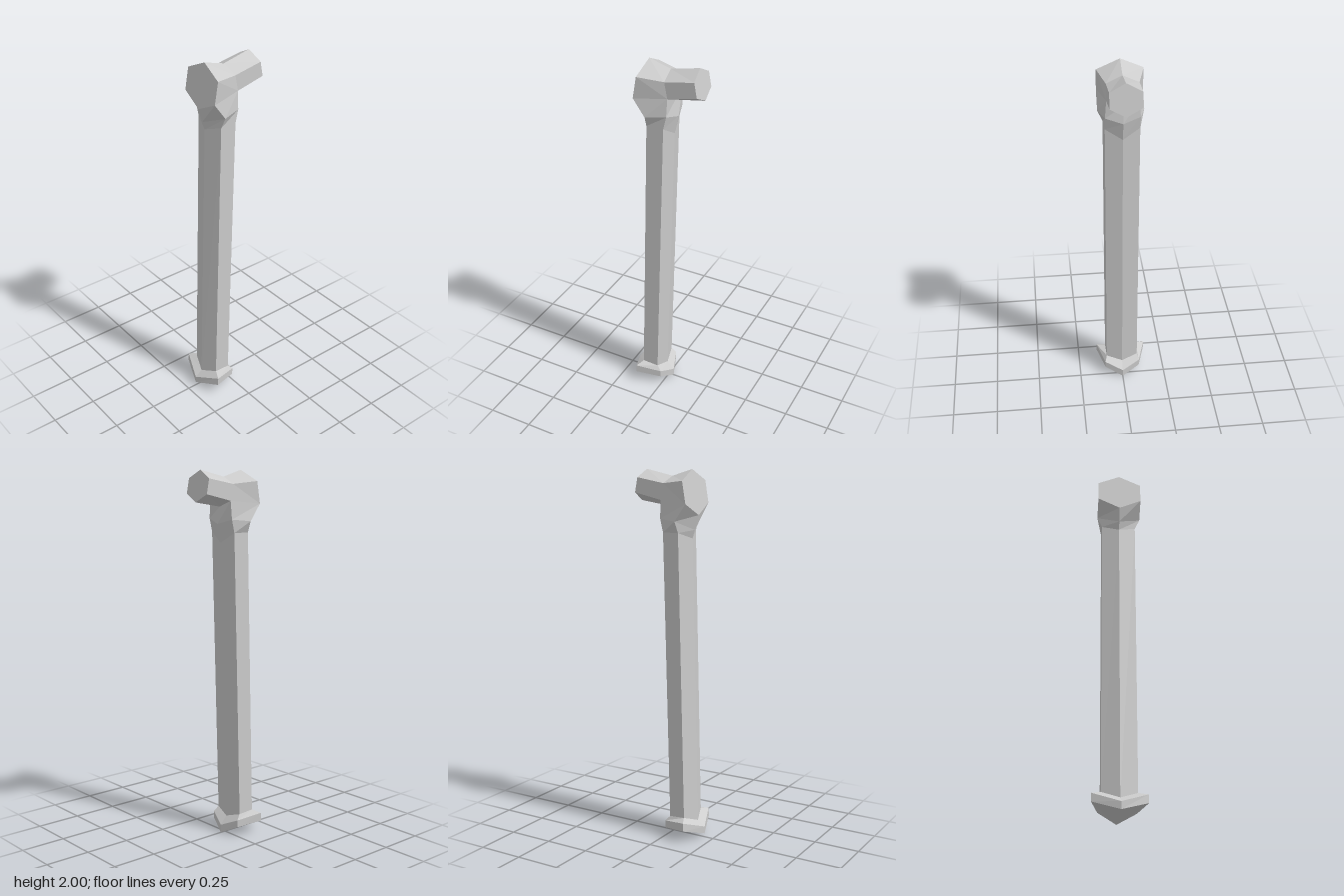
import * as THREE from 'three';

const material = new THREE.MeshStandardMaterial({ color: 0xcccccc, flatShading: true });

// Mirrored six-sided ring: first centre corner, two side corners, second centre corner
const ring = (first, sideA, sideB, last) => {
  const flip = ([x, y, z]) => [-x, y, z];
  return [first, sideA, sideB, last, flip(sideB), flip(sideA)];
};

// Quads joining consecutive rings, optionally only some of the six sides
function loft(rings, sides = [0, 1, 2, 3, 4, 5]) {
  const quads = [];
  for (let r = 0; r + 1 < rings.length; r++) {
    const [a, b] = [rings[r], rings[r + 1]];
    for (const i of sides) {
      const j = (i + 1) % 6;
      quads.push([a[i], a[j], b[j], b[i]]);
    }
  }
  return quads;
}

// Two quads closing a ring, folded along its centre line
function cap(r, reversed = false) {
  const quads = [[r[0], r[1], r[2], r[3]], [r[0], r[3], r[4], r[5]]];
  return reversed ? quads.map((q) => q.reverse()) : quads;
}

function part(name, quads) {
  const positions = quads.flatMap(([a, b, c, d]) => [a, b, c, a, c, d]).flat();
  const geometry = new THREE.BufferGeometry();
  geometry.setAttribute('position', new THREE.Float32BufferAttribute(positions, 3));
  geometry.computeVertexNormals();
  const mesh = new THREE.Mesh(geometry, material);
  mesh.name = name;
  return mesh;
}

export function createModel() {
  const group = new THREE.Group();
  group.name = 'bone';

  // Upright rings, from front corner to back corner
  const footBottom = ring([0, 0.02, 0.198], [0.143, 0.068, 0.145], [0.1, 0.05, 0.005], [0, 0, -0.03]);
  const footTop = ring([0, 0.06, 0.198], [0.143, 0.113, 0.142], [0.1, 0.09, 0.004], [0, 0.045, -0.03]);
  const shaftBottom = ring([0, 0.09, 0.155], [0.093, 0.125, 0.12], [0.09, 0.118, 0.03], [0, 0.09, 0.01]);
  const shaftTop = ring([0, 1.643, 0.113], [0.093, 1.675, 0.08], [0.09, 1.675, -0.013], [0, 1.62, -0.032]);
  const knuckle = ring([0, 1.688, 0.128], [0.12, 1.735, 0.075], [0.09, 1.745, -0.03], [0, 1.72, -0.053]);

  // Rings facing the front, from bottom corner to top corner
  const headFront = ring([0, 1.765, 0.15], [0.12, 1.825, 0.14], [0.12, 1.942, 0.12], [0, 2, 0.11]);
  const elbow = ring([0, 1.81, -0.037], [0.083, 1.842, -0.033], [0.083, 1.928, -0.016], [0, 1.965, -0.009]);
  const neckEnd = ring([0, 1.835, -0.2], [0.081, 1.878, -0.192], [0.081, 1.957, -0.177], [0, 2, -0.168]);

  // Opening under the head where the knuckle joins it
  const headBase = ring(headFront[0], headFront[1], elbow[1], elbow[0]);

  group.add(
    part('foot', [...cap(footBottom, true), ...loft([footBottom, footTop, shaftBottom])]),
    part('shaft', loft([shaftBottom, shaftTop])),
    part('knuckle', loft([shaftTop, knuckle, headBase])),
    part('head', [...loft([elbow, headFront], [1, 2, 3, 4]), ...cap(headFront)]),
    part('neck', [...cap(neckEnd, true), ...loft([neckEnd, elbow])]),
  );
  return group;
}
